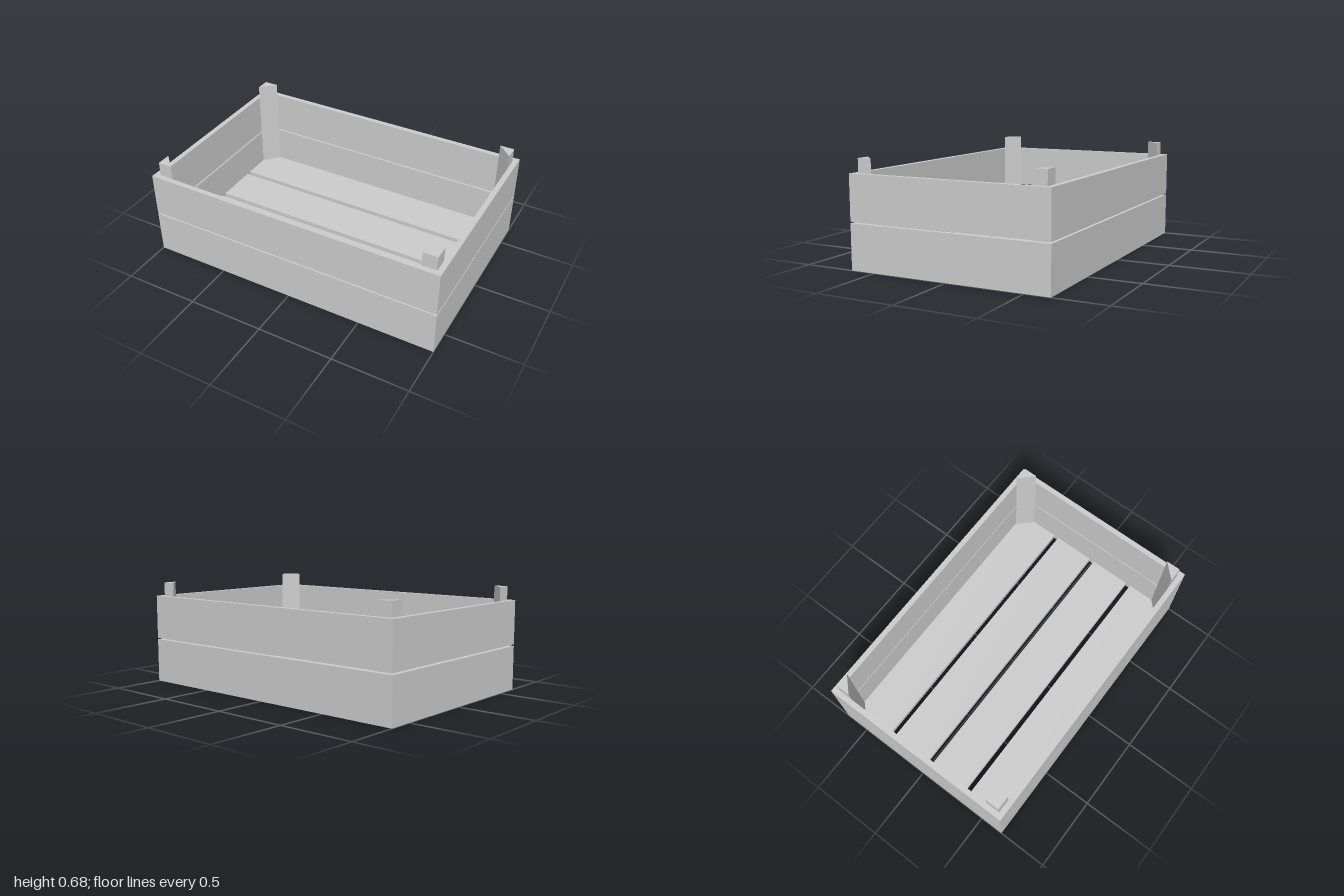
import * as THREE from 'three';

const material = new THREE.MeshStandardMaterial({ color: 0xcccccc, flatShading: true });

const HALF_X = 1, HALF_Z = 0.663, WALL = 0.035;
const IN_X = HALF_X - WALL, IN_Z = HALF_Z - WALL;

// Closed outline from [x, z] corners
const outline = (points, Type = THREE.Shape) =>
  new Type(points.map(([x, z]) => new THREE.Vector2(x, -z)));

const rectangle = (x, z) => [[-x, -z], [x, -z], [x, z], [-x, z]];

// Plan shape raised from y = bottom to y = top
function raise(name, shape, bottom, top) {
  const geometry = new THREE.ExtrudeGeometry(shape, { depth: top - bottom, bevelEnabled: false });
  geometry.rotateX(-Math.PI / 2).translate(0, bottom, 0);
  const mesh = new THREE.Mesh(geometry, material);
  mesh.name = name;
  return mesh;
}

export function createModel() {
  const crate = new THREE.Group();
  crate.name = 'crate';

  // Two rings of side planks with a narrow gap; the hole winds opposite to the outside
  for (const [name, bottom, top] of [['lowerSidePlanks', 0, 0.29], ['upperSidePlanks', 0.3, 0.59]]) {
    const ring = outline(rectangle(HALF_X, HALF_Z));
    ring.holes.push(outline(rectangle(IN_X, IN_Z).reverse(), THREE.Path));
    crate.add(raise(name, ring, bottom, top));
  }

  // Four floor slats with gaps between them
  const gap = 0.035, thickness = 0.04;
  const slatWidth = (2 * IN_Z - 3 * gap) / 4;
  for (let i = 0; i < 4; i++) {
    const slat = new THREE.Mesh(new THREE.BoxGeometry(2 * IN_X, thickness, slatWidth), material);
    slat.name = `floorSlat${i + 1}`;
    slat.position.set(0, thickness / 2, (i - 1.5) * (slatWidth + gap));
    crate.add(slat);
  }

  // Triangular corner posts rising above the planks
  const px = 0.963, pz = 0.623, leg = 0.095;
  for (const [side, sx] of [['Left', 1], ['Right', -1]]) {
    for (const [end, sz] of [['front', 1], ['back', -1]]) {
      const corner = outline([[px, pz], [px - leg, pz], [px, pz - leg]].map(([x, z]) => [x * sx, z * sz]));
      crate.add(raise(`${end}${side}Post`, corner, thickness, 0.68));
    }
  }

  return crate;
}
